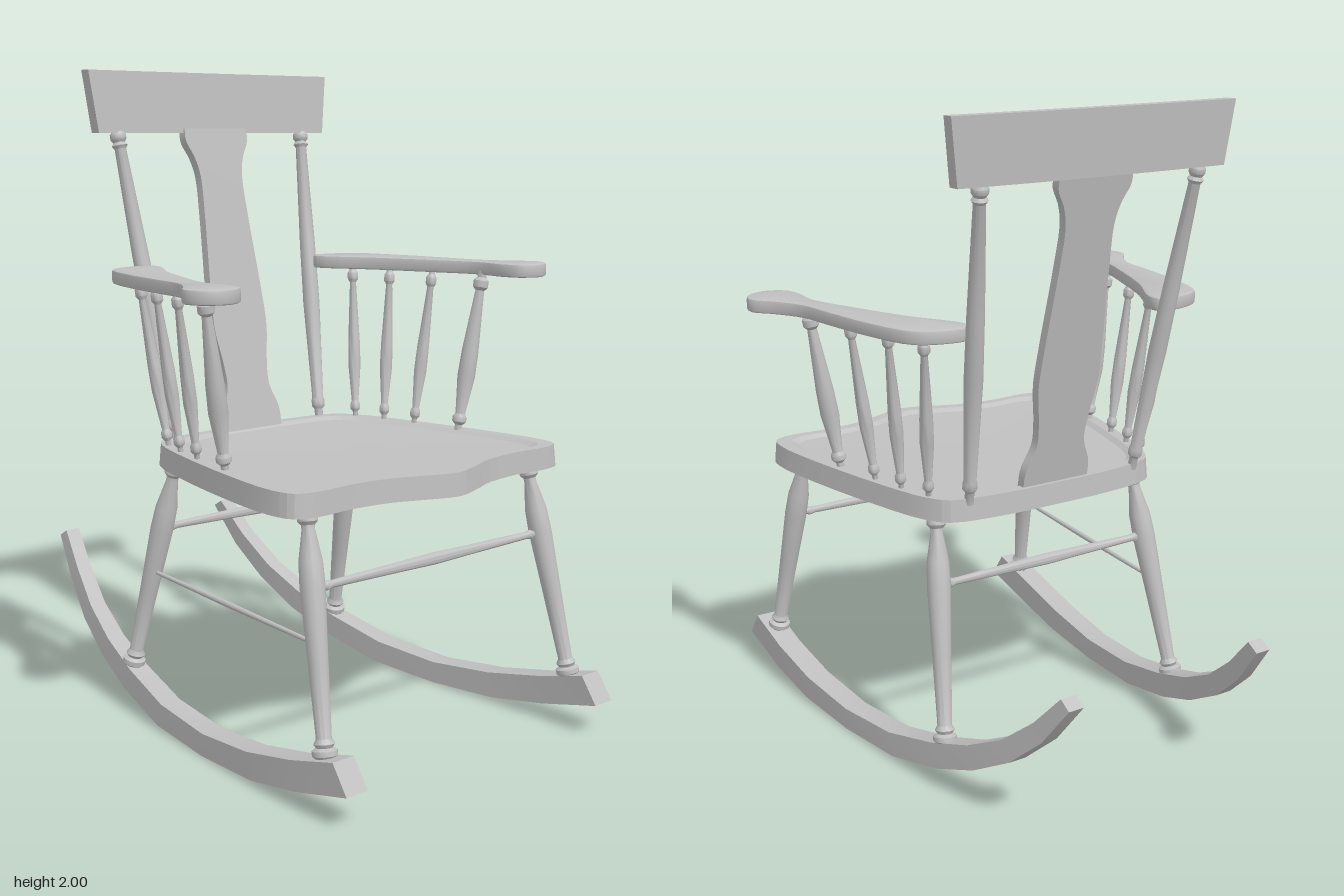
import * as THREE from 'three';
import { toCreasedNormals } from 'three/addons/utils/BufferGeometryUtils.js';

const wood = new THREE.MeshStandardMaterial({ color: 0xc0c0c0 });
wood.name = 'plain wood';

function part(group, name, geometry) {
  const mesh = new THREE.Mesh(geometry, wood);
  mesh.name = name;
  group.add(mesh);
  return mesh;
}

// Solid skin through equal-sized loops of [x, y, z], closed with fan caps
function loft(loops, crease = 0.6) {
  const n = loops[0].length, pos = loops.flat(2), index = [];
  for (let i = 0; i < loops.length - 1; i++) {
    for (let j = 0; j < n; j++) {
      const a = i * n + j, b = i * n + (j + 1) % n;
      index.push(a, b, b + n, a, b + n, a + n);
    }
  }
  [0, loops.length - 1].forEach((l, end) => {
    const c = pos.length / 3;
    for (let k = 0; k < 3; k++) pos.push(loops[l].reduce((s, p) => s + p[k], 0) / n);
    for (let j = 0; j < n; j++) {
      const a = l * n + j, b = l * n + (j + 1) % n;
      if (end) index.push(c, a, b); else index.push(c, b, a);
    }
  });
  // Turn the skin outward if its signed volume is negative
  const v = (i) => new THREE.Vector3().fromArray(pos, index[i] * 3);
  let volume = 0;
  for (let i = 0; i < index.length; i += 3) volume += v(i).dot(v(i + 1).cross(v(i + 2)));
  if (volume < 0) index.reverse();
  const g = new THREE.BufferGeometry();
  g.setAttribute('position', new THREE.Float32BufferAttribute(pos, 3));
  g.setIndex(index);
  return toCreasedNormals(g, crease);
}

// Turned rod from a to b; profile holds [fraction of length, radius]
function turned(group, name, a, b, profile) {
  const from = new THREE.Vector3(...a), dir = new THREE.Vector3(...b).sub(from);
  const length = dir.length();
  const pts = profile.map(([t, r]) => new THREE.Vector2(r, t * length));
  pts.unshift(new THREE.Vector2(0, pts[0].y));
  pts.push(new THREE.Vector2(0, pts[pts.length - 1].y));
  const mesh = part(group, name, toCreasedNormals(new THREE.LatheGeometry(pts, 12), 0.7));
  mesh.position.copy(from);
  mesh.quaternion.setFromUnitVectors(new THREE.Vector3(0, 1, 0), dir.normalize());
}

const smooth = (points, count, closed) => new THREE.CatmullRomCurve3(
  points.map(([x, z]) => new THREE.Vector3(x, 0, z)), closed, 'centripetal').getPoints(count);

const LEG = [[0, 0.018], [0.02, 0.024], [0.035, 0.036], [0.055, 0.036], [0.065, 0.023], [0.08, 0.03],
  [0.1, 0.022], [0.4, 0.029], [0.68, 0.036], [0.78, 0.034], [0.9, 0.019], [0.92, 0.019],
  [0.935, 0.029], [0.955, 0.029], [0.97, 0.02], [1, 0.02]];
const POST = [[0, 0.014], [0.04, 0.014], [0.05, 0.022], [0.07, 0.022], [0.08, 0.019], [0.4, 0.028],
  [0.6, 0.026], [0.93, 0.018], [0.94, 0.025], [0.95, 0.018], [0.96, 0.025], [0.975, 0.025],
  [0.985, 0.017], [1, 0.017]];
const SPINDLE = [[0, 0.4], [0.05, 0.4], [0.07, 0.8], [0.1, 0.8], [0.12, 0.55], [0.35, 1], [0.5, 0.95],
  [0.88, 0.5], [0.9, 0.85], [0.94, 0.85], [0.96, 0.5], [1, 0.5]];
const STRETCHER = [[0, 0.01], [0.04, 0.01], [0.05, 0.015], [0.07, 0.011], [0.35, 0.015], [0.5, 0.018],
  [0.65, 0.015], [0.93, 0.011], [0.95, 0.015], [0.96, 0.01], [1, 0.01]];

// Seat board with a serpentine front edge and a shallow dished top
function addSeat(group) {
  const half = [[0.1, 0.67], [0.2, 0.632], [0.34, 0.615], [0.46, 0.622], [0.53, 0.6], [0.55, 0.53],
    [0.53, 0.33], [0.455, -0.03], [0.41, -0.17], [0.36, -0.235], [0.2, -0.265]];
  const mirrored = half.map(([x, z]) => [-x, z]).reverse();
  const outline = smooth([[0, 0.7], ...half, [0, -0.27], ...mirrored], 72, true).slice(0, -1);
  const loop = (s, y) => outline.map((p) => [p.x * s, y, 0.2 + (p.z - 0.2) * s]);
  part(group, 'seat', loft([loop(1, 0.8), loop(0.99, 0.868), loop(0.915, 0.868),
    loop(0.88, 0.857), loop(0.4, 0.854)], 0.12));
}

// Back: curved crest rail and shaped centre splat
function addBack(group) {
  const rail = [];
  for (let i = 0; i <= 12; i++) {
    const t = i / 6 - 1, bow = -0.012 * (1 - t * t);
    rail.push([[t * 0.455, 1.81, -0.405 + bow], [t * 0.48, 2, -0.42 + bow],
      [t * 0.48, 2, -0.458 + bow], [t * 0.455, 1.81, -0.445 + bow]]);
  }
  part(group, 'crestRail', loft(rail));

  const side = smooth([[0.117, 0], [0.115, 0.06], [0.086, 0.14], [0.09, 0.22], [0.107, 0.33],
    [0.104, 0.45], [0.088, 0.7], [0.085, 0.83], [0.1, 0.89], [0.125, 0.94], [0.125, 0.98]], 36, false);
  const shape = new THREE.Shape([...side.map((p) => new THREE.Vector2(p.x, p.z)),
    ...side.map((p) => new THREE.Vector2(-p.x, p.z)).reverse()]);
  const g = new THREE.ExtrudeGeometry(shape, { depth: 0.03, bevelEnabled: false });
  g.translate(0, 0, -0.015);
  const splat = part(group, 'backSplat', toCreasedNormals(g, 0.6));
  splat.rotation.x = -Math.atan2(0.19, 0.955);
  splat.position.set(0, 0.86, -0.236);
}

// Flat arm flaring outward to a rounded hand grip
function addArm(group, s) {
  const outline = smooth([[0.42, -0.315], [0.5, -0.275], [0.555, -0.11], [0.585, 0.07], [0.605, 0.2],
    [0.65, 0.285], [0.7, 0.355], [0.68, 0.41], [0.62, 0.437], [0.56, 0.41], [0.543, 0.35],
    [0.55, 0.245], [0.5, 0.09], [0.42, -0.11], [0.33, -0.28], [0.345, -0.315]], 64, true).slice(0, -1);
  const g = new THREE.ExtrudeGeometry(new THREE.Shape(outline.map((p) => new THREE.Vector2(s * p.x, -p.z))),
    { depth: 0.026, bevelThickness: 0.008, bevelSize: 0.006, bevelOffset: -0.002, bevelSegments: 2 });
  g.rotateX(-Math.PI / 2).translate(0, 1.371, 0);
  part(group, 'armrest', toCreasedNormals(g, 0.6));

  // Bottom x, z, then top x, z, and greatest radius
  const spindles = [[0.475, 0.235, 0.56, 0.255, 0.029], [0.445, 0.065, 0.52, 0.07, 0.021],
    [0.42, -0.05, 0.48, -0.09, 0.021], [0.388, -0.155, 0.44, -0.23, 0.021]];
  for (const [x0, z0, x1, z1, r] of spindles) {
    turned(group, 'armSpindle', [s * x0, 0.855, z0], [s * x1, 1.375, z1], SPINDLE.map(([t, k]) => [t, k * r]));
  }
}

// Long curved rocker: top z, y, bottom z, y, centre x, half width
function addRocker(group, s) {
  const sections = [[0.775, 0.18, 0.83, 0.1, 0.51, 0.038], [0.6, 0.133, 0.62, 0.048, 0.51, 0.038],
    [0.4, 0.092, 0.42, 0.013, 0.502, 0.038], [0.17, 0.07, 0.17, 0, 0.483, 0.037],
    [-0.07, 0.085, -0.09, 0.012, 0.459, 0.036], [-0.28, 0.135, -0.31, 0.062, 0.431, 0.034],
    [-0.44, 0.19, -0.47, 0.122, 0.407, 0.031], [-0.58, 0.262, -0.62, 0.208, 0.382, 0.028],
    [-0.7, 0.36, -0.74, 0.315, 0.356, 0.026], [-0.8, 0.468, -0.838, 0.445, 0.335, 0.025]];
  part(group, 'rocker', loft(sections.map(([zt, yt, zb, yb, x, w]) => [
    [s * (x - w), yt, zt], [s * (x + w), yt, zt], [s * (x + w), yb, zb], [s * (x - w), yb, zb]]), 0.35));
}

export function createModel() {
  const chair = new THREE.Group();
  chair.name = 'rockingChair';
  addSeat(chair);
  addBack(chair);
  for (const s of [1, -1]) {
    const side = new THREE.Group();
    side.name = s > 0 ? 'leftSide' : 'rightSide';
    chair.add(side);
    addArm(side, s);
    addRocker(side, s);
    turned(side, 'backPost', [s * 0.3, 0.85, -0.24], [s * 0.375, 1.83, -0.43], POST);
    turned(side, 'frontLeg', [s * 0.505, 0.14, 0.7], [s * 0.447, 0.82, 0.553], LEG);
    turned(side, 'rearLeg', [s * 0.433, 0.12, -0.31], [s * 0.363, 0.82, -0.153], LEG);
  }
  // Stretchers between the legs, with a single thin side rod
  turned(chair, 'frontStretcher', [-0.465, 0.598, 0.6], [0.465, 0.598, 0.6], STRETCHER);
  turned(chair, 'rearStretcher', [-0.385, 0.598, -0.203], [0.385, 0.598, -0.203], STRETCHER);
  turned(chair, 'sideStretcher', [-0.478, 0.452, 0.632], [-0.4, 0.455, -0.235],
    [[0, 0.006], [0.5, 0.009], [1, 0.006]]);
  return chair;
}
